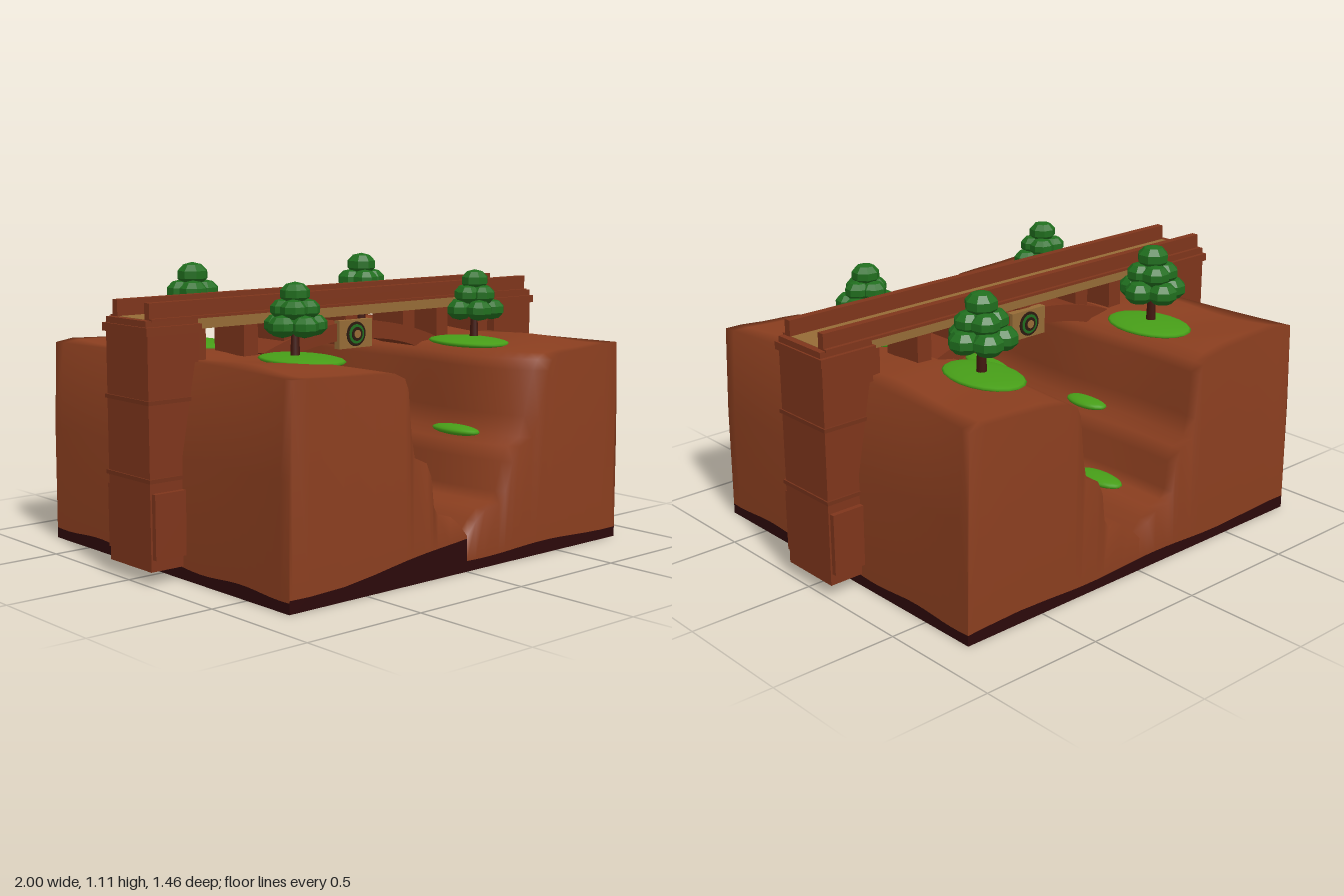
import * as THREE from 'three';

const mat = (name, color, opts = {}) => {
  const m = new THREE.MeshStandardMaterial({ color, ...opts });
  m.name = name;
  return m;
};

export function createModel() {
  const root = new THREE.Group();
  root.name = 'canyonBridge';
  const M = {
    rock: mat('red rock', 0x8a3e1f, { side: THREE.DoubleSide }),
    base: mat('dark base', 0x2c090a, { side: THREE.DoubleSide }),
    stone: mat('brown stone', 0x7e351b),
    trim: mat('trim stone', 0x743119),
    deck: mat('tan deck', 0x956b36),
    grass: mat('grass', 0x479e18),
    leaf: mat('leaf', 0x206e1e, { flatShading: true }),
    trunk: mat('bark', 0x42170e),
    dark: mat('dark metal', 0x2a1a10),
  };
  const add = (name, geo, m, x = 0, y = 0, z = 0, parent = root) => {
    const mesh = new THREE.Mesh(geo, m);
    mesh.name = name;
    mesh.position.set(x, y, z);
    parent.add(mesh);
    return mesh;
  };
  const box = (name, m, w, h, d, x, y, z, parent) => add(name, new THREE.BoxGeometry(w, h, d), m, x, y, z, parent);

  // Smooth surface from a rule over a grid of nu by nv cells
  const grid = (name, nu, nv, fn, m) => {
    const pos = [], idx = [];
    for (let i = 0; i <= nu; i++) for (let j = 0; j <= nv; j++) pos.push(...fn(i, j));
    for (let i = 0; i < nu; i++) for (let j = 0; j < nv; j++) {
      const a = i * (nv + 1) + j, b = a + nv + 1;
      idx.push(a, a + 1, b, b, a + 1, b + 1);
    }
    const g = new THREE.BufferGeometry();
    g.setAttribute('position', new THREE.Float32BufferAttribute(pos, 3));
    g.setIndex(idx);
    g.computeVertexNormals();
    return add(name, g, m);
  };

  // Canyon halves: terraced profile swept along z, smooth over the end walls
  const D = 0.73, N = 32;
  const profile = [[0, 0.135], [0.04, 0.185], [0.08, 0.22], [0.14, 0.232], [0.162, 0.27], [0.175, 0.38], [0.2, 0.435],
    [0.26, 0.462], [0.275, 0.54], [0.292, 0.71], [0.31, 0.75], [0.36, 0.772], [0.45, 0.782], [0.6, 0.788],
    [0.76, 0.795], [0.835, 0.79], [0.848, 0.45], [0.85, 0.05]];
  const last = profile.length - 1;
  const band = (s, x, z) => 0.045 + 0.006 * Math.sin(14 * z + 9 * x)
    + (s < 0 && z > 0 ? 0.085 * (z / D) * Math.pow(1 - Math.abs(x) / 0.85, 1.5) : 0);
  const surface = (s, i, z) => {
    const [x, y] = profile[i];
    const t = z / D;
    const sway = 0.012 * Math.abs(t) ** 3 + 0.008 * (1 + Math.sin(8 * z + s));
    const flare = s > 0 && z > 0 ? 0.14 * t ** 5 * Math.max(0, (y - 0.2) / 0.6) : 0;
    let px = x + (sway + flare) * Math.max(0, Math.min(1, x / 0.15, (0.78 - x) / 0.49));
    if (x > 0.7 && y > 0.7) px -= 0.05 * (1 - t * t);
    if (i === last) return [s * px, band(s, px, z), z];
    const wave = x > 0.4 && x < 0.8 ? 0.007 * Math.sin(11 * z + 5 * x) : 0;
    return [s * px, y + wave, z];
  };
  const foot = (s, i, z) => {
    const p = surface(s, i, z);
    return [p[0], Math.min(band(s, p[0], z), p[1]), z];
  };
  for (const s of [-1, 1]) {
    const side = s < 0 ? 'right' : 'left';
    grid(side + 'Canyon', last, N + 2, (i, j) => {
      if (j === 0) return foot(s, i, -D);
      if (j === N + 2) return foot(s, i, D);
      return surface(s, i, ((j - 1) / N * 2 - 1) * D);
    }, M.rock);
    for (const z of [-D, D]) {
      grid(side + 'BaseEnd', last, 1, (i, j) => {
        const p = foot(s, i, z);
        return [p[0], p[1] * j, z];
      }, M.base);
    }
    grid(side + 'BaseSide', N, 1, (i, j) => {
      const z = (i / N * 2 - 1) * D;
      return [s * 0.85, band(s, 0.85, z) * j, z];
    }, M.base);
  }
  grid('baseMiddleWall', N, 1, (i, j) => [0, 0.13 * j, (i / N * 2 - 1) * D], M.base);

  // Grass patches: x, y, z, radius x, radius z
  for (const [x, y, z, rx, rz] of [
    [-0.44, 0.787, -0.34, 0.13, 0.19], [0.43, 0.787, -0.34, 0.12, 0.19],
    [-0.44, 0.787, 0.31, 0.13, 0.2], [0.43, 0.787, 0.31, 0.125, 0.19],
    [-0.12, 0.234, -0.39, 0.055, 0.12], [0.12, 0.234, -0.4, 0.065, 0.12],
    [-0.12, 0.234, 0.2, 0.055, 0.13], [0.12, 0.234, 0.2, 0.06, 0.13],
    [-0.25, 0.465, -0.19, 0.052, 0.1], [0.24, 0.465, -0.18, 0.045, 0.09],
    [-0.26, 0.465, 0.43, 0.055, 0.125], [0.25, 0.465, 0.42, 0.05, 0.12]]) {
    add('grassPatch', new THREE.SphereGeometry(1, 20, 10), M.grass, x, y, z).scale.set(rx, 0.02, rz);
  }

  // Trees with three tiers of faceted leaf clumps
  const tree = (x, z, k, turn) => {
    const g = new THREE.Group();
    g.name = 'tree';
    g.position.set(x, 0.785, z);
    g.rotation.y = turn;
    g.scale.setScalar(k);
    root.add(g);
    add('trunk', new THREE.CylinderGeometry(0.013, 0.02, 0.16, 8), M.trunk, 0, 0.08, 0, g);
    for (const [n, ring, r, y] of [[5, 0.072, 0.058, 0.138], [4, 0.044, 0.055, 0.2], [1, 0, 0.06, 0.26]]) {
      for (let i = 0; i < n; i++) {
        const a = i / n * Math.PI * 2 + y * 5;
        add('leafClump', new THREE.SphereGeometry(r, 8, 5), M.leaf, Math.cos(a) * ring, y, Math.sin(a) * ring, g).scale.y = 0.76;
      }
    }
  };
  tree(-0.47, 0.31, 0.94, 0.2);
  tree(0.46, 0.31, 0.94, 1.1);
  tree(-0.45, -0.34, 1.06, 2);
  tree(0.44, -0.34, 1.06, 0.6);

  // Bridge deck, rails and columns
  box('deck', M.deck, 1.93, 0.045, 0.23, 0, 0.928, 0);
  for (const z of [-0.1, 0.1]) {
    box('rail', M.stone, 1.94, 0.06, 0.03, 0, 0.98, z);
    box('deckEdge', M.stone, 1.94, 0.01, 0.03, 0, 0.95, z * 1.15);
  }
  for (const x of [-0.74, -0.5, -0.31, 0, 0.31, 0.5, 0.74])
    box('column', M.stone, 0.065, 0.13, 0.18, x, 0.85, 0);

  // Main arch
  const arch = new THREE.Shape();
  arch.moveTo(-0.45, 0.79);
  arch.quadraticCurveTo(-0.22, 0.88, 0, 0.88);
  arch.quadraticCurveTo(0.22, 0.88, 0.45, 0.79);
  arch.lineTo(0.36, 0.75);
  arch.quadraticCurveTo(0.2, 0.81, 0, 0.81);
  arch.quadraticCurveTo(-0.2, 0.81, -0.36, 0.75);
  arch.closePath();
  add('mainArch', new THREE.ExtrudeGeometry(arch, { depth: 0.2, bevelEnabled: false, curveSegments: 14 }), M.stone, 0, 0, -0.1);

  // Round medallion on each face of the arch
  for (const s of [-1, 1]) {
    const g = new THREE.Group();
    g.name = 'medallion';
    g.position.set(0, 0.832, s * 0.1);
    if (s < 0) g.rotation.y = Math.PI;
    root.add(g);
    box('medallionPlate', M.deck, 0.17, 0.11, 0.03, 0, 0, 0, g);
    const disc = (name, r, d, m) => { add(name, new THREE.CylinderGeometry(r, r, d, 24), m, 0, 0, 0.013, g).rotation.x = Math.PI / 2; };
    disc('medallionBack', 0.048, 0.012, M.dark);
    disc('medallionRing', 0.038, 0.018, M.leaf);
    disc('medallionInner', 0.027, 0.024, M.dark);
    disc('medallionCore', 0.016, 0.03, M.deck);
  }

  // End towers
  for (const s of [-1, 1]) {
    const x = s * 0.88;
    box('tower', M.stone, 0.22, 0.87, 0.26, x, 0.485, 0);
    box('towerCapLower', M.stone, 0.24, 0.03, 0.28, x, 0.912, 0);
    box('towerCapUpper', M.stone, 0.225, 0.025, 0.25, x, 0.937, 0);
    for (const y of [0.38, 0.66]) box('towerBand', M.trim, 0.232, 0.015, 0.276, x, y, 0);
    for (const z of [-1, 1])
      box('towerPanel', M.stone, 0.205, 0.24, 0.026, x, 0.215, z * 0.137);
  }

  // Small gate in the canyon
  const gate = new THREE.Group();
  gate.name = 'gate';
  root.add(gate);
  for (const s of [-1, 1]) {
    box('gatePost', M.stone, 0.04, 0.15, 0.045, s * 0.13, 0.285, 0, gate);
    box('gatePostCap', M.deck, 0.055, 0.018, 0.06, s * 0.13, 0.36, 0, gate);
    box('lanternArm', M.dark, 0.035, 0.006, 0.006, s * 0.1, 0.335, 0, gate);
    box('lantern', M.trim, 0.016, 0.035, 0.016, s * 0.095, 0.305, 0, gate);
  }
  for (const [r, t, m] of [[0.122, 0.008, M.deck], [0.095, 0.005, M.stone]])
    add('gateArch', new THREE.TorusGeometry(r, t, 8, 28, Math.PI), m, 0, 0.342, 0, gate);
  for (let i = 1; i < 6; i++) {
    const a = i / 6 * Math.PI;
    box('gateSpoke', M.stone, 0.03, 0.007, 0.007, Math.cos(a) * 0.108, 0.342 + Math.sin(a) * 0.108, 0, gate).rotation.z = a;
  }
  add('gateFinial', new THREE.SphereGeometry(0.014, 12, 8), M.stone, 0, 0.466, 0, gate);
  add('canyonPost', new THREE.CylinderGeometry(0.008, 0.012, 0.09, 8), M.trim, 0, 0.17, 0, gate);
  box('canyonPostBar', M.trim, 0.05, 0.008, 0.008, 0, 0.19, 0, gate);

  return root;
}
